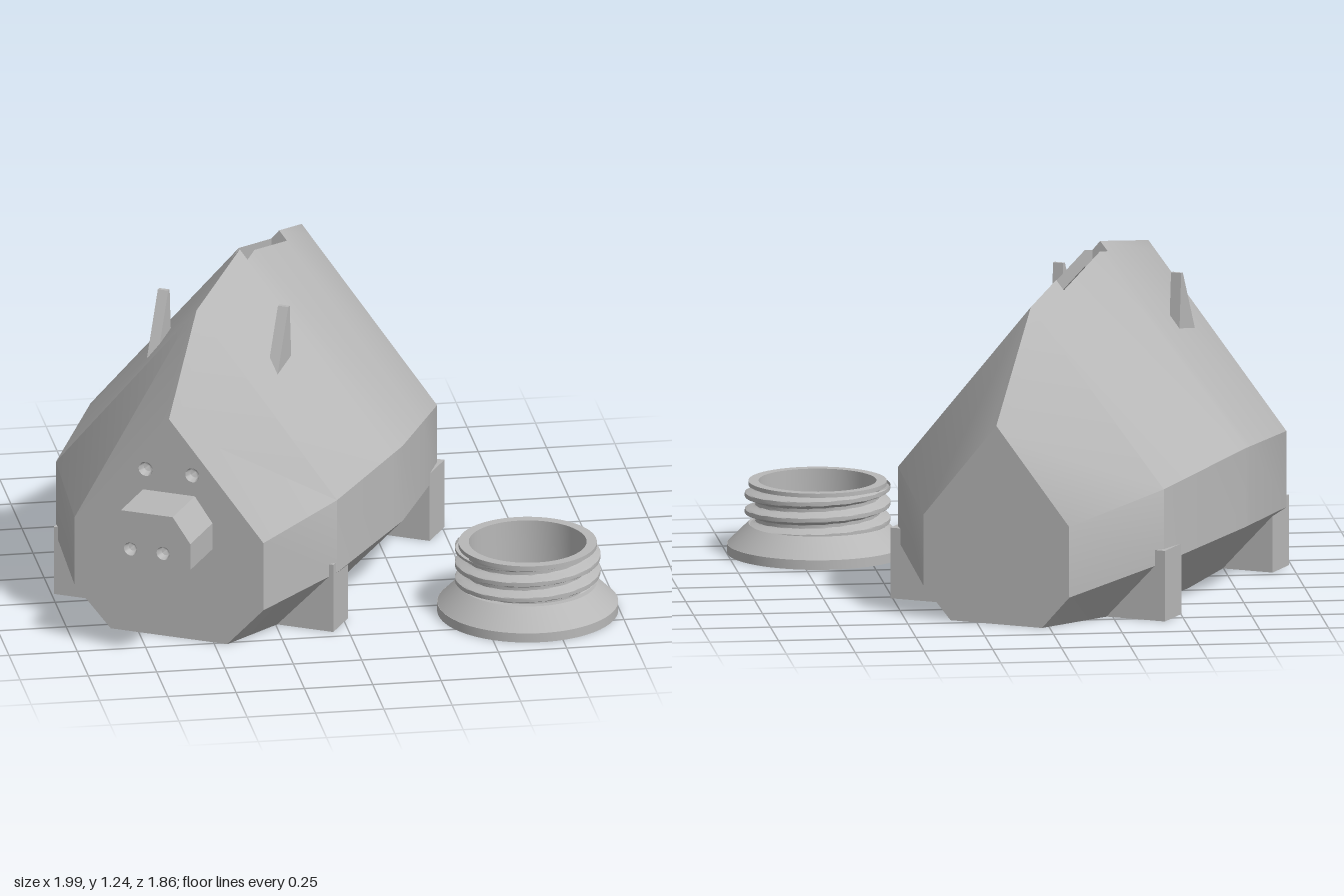
import * as THREE from 'three';
import { toCreasedNormals } from 'three/addons/utils/BufferGeometryUtils.js';

const grey = new THREE.MeshStandardMaterial({ color: 0xb8b8b8, side: THREE.DoubleSide });
grey.name = 'plain grey';

const V2 = (x, y) => new THREE.Vector2(x, y);
const crease = (geo, deg = 33) => toCreasedNormals(geo, deg * Math.PI / 180);

function add(parent, name, geo, x = 0, y = 0, z = 0) {
  const mesh = new THREE.Mesh(geo, grey);
  mesh.name = name;
  mesh.position.set(x, y, z);
  parent.add(mesh);
}

function polygon(points, holes = []) {
  const shape = new THREE.Shape(points.map(p => V2(p[0], p[1])));
  for (const [x, y, r] of holes) shape.holes.push(new THREE.Path().absarc(x, y, r, 0, Math.PI * 2, true));
  return shape;
}

// Body stations along z: [z, half width, lower crease y, upper crease y, ridge y, floor half width]
const STATIONS = [
  [-0.775, 0.287, 0.12, 0.38, 0.73, 0.18],
  [-0.46, 0.523, 0.21, 0.48, 1.11, 0.325],
  [0.10, 0.603, 0.245, 0.535, 1.25, 0.375],
  [0.61, 0.543, 0.22, 0.50, 1.16, 0.335],
  [0.89, 0.365, 0.15, 0.41, 0.84, 0.225],
];
const SLOT = [-0.23, 0.17], SLOT_HALF = 0.03;
const HOLE_Z = 0.04;

function stationAt(z) {
  const i = STATIONS.findIndex(s => s[0] > z) - 1;
  const a = STATIONS[i], b = STATIONS[i + 1], t = (z - a[0]) / (b[0] - a[0]);
  return [z, ...a.slice(1).map((v, k) => v + (b[k + 1] - v) * t)];
}

// Full cross-section, from the left floor edge over the ridge to the right one
function section([z, w, yl, ym, yt, wb], inner) {
  const e = SLOT_HALF, ridge = inner ? yt - 0.06 : yt, k = inner ? 0.9 : 1;
  const half = [
    [wb * (inner ? 1.05 : 1), inner ? 0.08 : 0], [w * k, inner ? yl + 0.02 : yl], [w * k, ym],
    [e, ridge - e * (ridge - ym) / (w * k)], [0, ridge],
  ];
  const zz = inner ? THREE.MathUtils.clamp(z, -0.73, 0.845) : z;
  const all = [...half, ...half.slice(0, 4).reverse().map(([x, y]) => [-x, y])];
  return all.map(([x, y]) => [x, y, zz]);
}

function hull(sections, isOpen, flip) {
  const pos = [];
  for (let i = 0; i < sections.length - 1; i++) {
    for (let j = 0; j < 8; j++) {
      if (isOpen(i, j)) continue;
      const a = sections[i], b = sections[i + 1];
      pushQuad(pos, flip ? [a[j], b[j], b[j + 1], a[j + 1]] : [a[j], a[j + 1], b[j + 1], b[j]]);
    }
  }
  return fromPositions(pos);
}

function pushQuad(pos, [a, b, c, d]) {
  pos.push(...a, ...b, ...c, ...a, ...c, ...d);
}

function fromPositions(pos) {
  const geo = new THREE.BufferGeometry();
  geo.setAttribute('position', new THREE.Float32BufferAttribute(pos, 3));
  geo.computeVertexNormals();
  return geo;
}

// Helical screw thread as a tube whose radius follows a slanted ridge
function threadGeometry(y0, y1, r, depth, pitch) {
  const rows = 44, cols = 72, pos = [];
  const point = (i, j) => {
    const y = y0 + (y1 - y0) * i / rows, a = j / cols;
    const t = (((y - y0) / pitch - a) % 1 + 1) % 1;
    const rad = r + depth * THREE.MathUtils.clamp(1.6 - 4.2 * Math.abs(t - 0.5), 0, 1);
    return [rad * Math.sin(a * Math.PI * 2), y, rad * Math.cos(a * Math.PI * 2)];
  };
  for (let i = 0; i < rows; i++) for (let j = 0; j < cols; j++)
    pushQuad(pos, [point(i, j), point(i, j + 1), point(i + 1, j + 1), point(i + 1, j)]);
  return crease(fromPositions(pos), 30);
}

const lathe = pts => crease(new THREE.LatheGeometry(pts.map(p => V2(...p)), 64), 30);

// Shallow conical dimple facing +z
const dimple = r => lathe([[0, -0.04], [r * 0.7, -0.03], [r, 0]]).rotateX(Math.PI / 2);

function buildBody(pig) {
  const all = [...STATIONS, ...SLOT.map(stationAt)].sort((a, b) => a[0] - b[0]);
  const outer = all.map(s => section(s, false)), inner = all.map(s => section(s, true));
  const s0 = all.findIndex(s => s[0] === SLOT[0]), s1 = all.findIndex(s => s[0] === SLOT[1]);
  const open = (i, j) => i >= s0 && i < s1 && (j === 3 || j === 4);
  add(pig, 'bodyShell', crease(hull(outer, open, false)));
  add(pig, 'bodyLining', crease(hull(inner, open, true)));

  // Walls of the coin slot
  const walls = [];
  for (let i = s0; i < s1; i++) for (const j of [3, 5])
    pushQuad(walls, [outer[i][j], outer[i + 1][j], inner[i + 1][j], inner[i][j]]);
  for (const i of [s0, s1]) for (const j of [3, 4])
    pushQuad(walls, [outer[i][j], outer[i][j + 1], inner[i][j + 1], inner[i][j]]);
  add(pig, 'coinSlotWalls', fromPositions(walls));

  // Flat ends, the face having two eye dimples
  const last = all.length - 1, eyes = [-1, 1].map(s => [s * 0.09, 0.635, 0.027]);
  add(pig, 'face', new THREE.ShapeGeometry(polygon(outer[last], eyes), 24), 0, 0, 0.89);
  for (const [x, y, r] of eyes) add(pig, 'eye', dimple(r), x, y, 0.89);
  add(pig, 'rump', new THREE.ShapeGeometry(polygon(outer[0])).rotateY(Math.PI), 0, 0, -0.775);
  add(pig, 'faceLining', new THREE.ShapeGeometry(polygon(inner[last])).rotateY(Math.PI), 0, 0, 0.845);
  add(pig, 'rumpLining', new THREE.ShapeGeometry(polygon(inner[0])), 0, 0, -0.73);

  // Belly plates around the screw hole
  const outline = secs => [...secs.map(s => [s[0][0], s[0][2]]), ...secs.map(s => [s[8][0], s[8][2]]).reverse()];
  const plate = (secs, r) =>
    new THREE.ShapeGeometry(polygon(outline(secs), [[0, HOLE_Z, r]]), 32).rotateX(Math.PI / 2);
  add(pig, 'belly', plate(outer, 0.335));
  add(pig, 'innerFloor', plate(inner, 0.3), 0, 0.08, 0);

  // Countersunk threaded collar
  add(pig, 'holeCountersink', lathe([[0.335, 0], [0.335, 0.035], [0.262, 0.11]]), 0, 0, HOLE_Z);
  add(pig, 'holeThread', threadGeometry(0.11, 0.265, 0.235, 0.028, 0.06), 0, 0, HOLE_Z);
  add(pig, 'holeCollar', lathe([[0.3, 0.08], [0.3, 0.265], [0.235, 0.265]]), 0, 0, HOLE_Z);
}

function buildFeatures(pig) {
  // Snout with two nostrils
  const half = [[0, 0.187], [0.168, 0.36], [0.168, 0.46], [0.1, 0.555]];
  const outline = [...half, ...half.slice(1).reverse().map(([x, y]) => [-x, y])];
  const nostrils = [-1, 1].map(s => [s * 0.063, 0.41, 0.025]);
  add(pig, 'snout', new THREE.ExtrudeGeometry(polygon(outline, nostrils),
    { depth: 0.225, bevelEnabled: false, curveSegments: 16 }), 0, 0, 0.89);
  for (const [x, y, r] of nostrils) add(pig, 'nostril', dimple(r), x, y, 1.115);

  for (const side of [-1, 1]) {
    // Ear: thin triangular wedge standing out of the sloping back
    const ear = new THREE.ExtrudeGeometry(polygon([[-0.45, 0.885], [-0.31, 0.91], [-0.325, 1.11], [-0.34, 1.11]]),
      { depth: 0.04, bevelEnabled: false }).rotateY(Math.PI / 2);
    add(pig, side > 0 ? 'leftEar' : 'rightEar', ear, side > 0 ? 0.212 : -0.252);
    // Square legs
    for (const [name, z] of [['FrontLeg', 0.565], ['BackLeg', -0.415]])
      add(pig, (side > 0 ? 'left' : 'right') + name, new THREE.BoxGeometry(0.25, 0.26, 0.15), side * 0.415, 0.13, z);
  }
}

function buildPlug(plug) {
  // Base disc with a cross-shaped driver slot
  const a = 0.21, b = 0.024;
  const disc = new THREE.Shape().absarc(0, 0, 0.327, 0, Math.PI * 2);
  disc.holes.push(new THREE.Path([[a, b], [b, b], [b, a], [-b, a], [-b, b], [-a, b],
    [-a, -b], [-b, -b], [-b, -a], [b, -a], [b, -b], [a, -b]].map(p => V2(...p))));
  const base = new THREE.ExtrudeGeometry(disc, { depth: 0.035, bevelEnabled: false, curveSegments: 64 });
  add(plug, 'plugBase', crease(base.rotateX(Math.PI / 2), 30), 0, 0.035, 0);
  add(plug, 'plugCone', lathe([[0, 0.034], [0.326, 0.035], [0.25, 0.11], [0.224, 0.11]]));
  add(plug, 'plugThread', threadGeometry(0.11, 0.25, 0.225, 0.038, 0.06));
  add(plug, 'plugRim', lathe([[0.225, 0.245], [0.25, 0.25], [0.25, 0.265], [0.213, 0.265], [0.213, 0.06], [0, 0.06]]));
}

export function createModel() {
  const model = new THREE.Group();
  model.name = 'piggyBank';

  const pig = new THREE.Group();
  pig.name = 'pig';
  pig.rotation.y = -Math.PI / 6;
  pig.position.set(-0.204, 0, -0.118);
  buildBody(pig);
  buildFeatures(pig);

  const plug = new THREE.Group();
  plug.name = 'screwPlug';
  plug.position.set(0.672, 0, 0.6);
  buildPlug(plug);

  model.add(pig, plug);
  return model;
}
